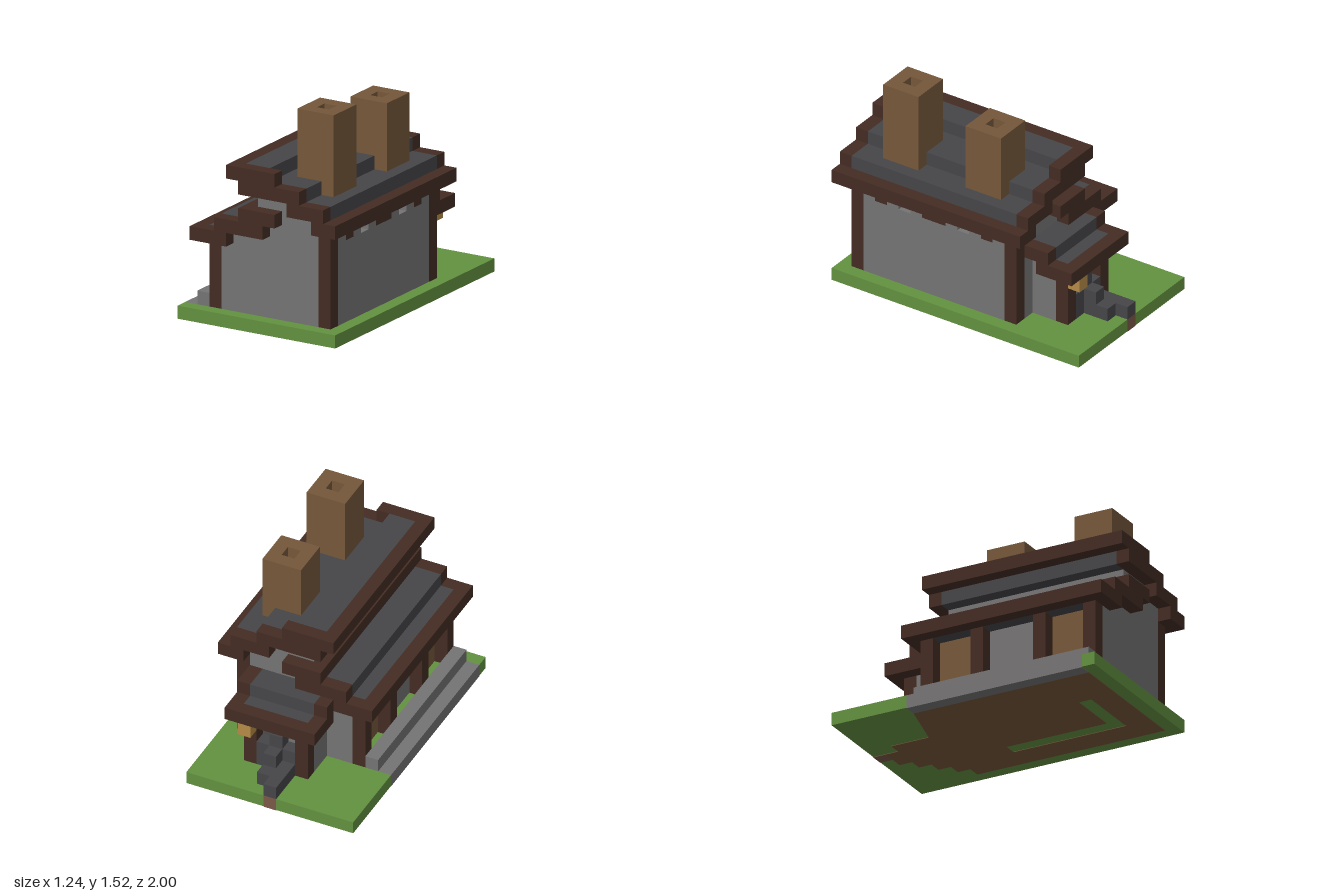
import * as THREE from 'three';

export function createModel() {
  const U = 2 / 21; // one block
  const root = new THREE.Group();
  root.name = 'blockHouse';
  const house = new THREE.Group();
  house.name = 'house';
  house.scale.setScalar(U);
  house.position.set(-6.5 * U, 0, -10.5 * U);
  root.add(house);

  const mat = (name, color) => {
    const m = new THREE.MeshStandardMaterial({ color });
    m.name = name;
    return m;
  };
  const grass = mat('grass', 0x629140);
  const slate = mat('slate', 0x454549);
  const stone = mat('stone', 0x757373);
  const timber = mat('dark timber', 0x432c22);
  const wood = mat('brown wood', 0x75573a);
  const glow = mat('lamp gold', 0xb48a45);
  const clay = mat('path clay', 0x7a5848);

  const add = (name, geo, m) => {
    const mesh = new THREE.Mesh(geo, m);
    mesh.name = name;
    house.add(mesh);
    return mesh;
  };
  // block from x0..x1, y0..y1, z0..z1 in block units
  const box = (name, m, x0, x1, y0, y1, z0, z1) =>
    add(name, new THREE.BoxGeometry(x1 - x0, y1 - y0, z1 - z0), m)
      .position.set((x0 + x1) / 2, (y0 + y1) / 2, (z0 + z1) / 2);
  const outline = pts => new THREE.Shape(pts.map(p => new THREE.Vector2(...p)));
  // stepped x-y outline extruded from z0 to z1
  const prism = (name, m, pts, z0, z1) => {
    const geo = new THREE.ExtrudeGeometry(outline(pts), { depth: z1 - z0, bevelEnabled: false });
    add(name, geo, m).position.z = z0;
  };
  // x-z outline with a hole, extruded down from y1 to y0
  const column = (name, m, pts, hole, y0, y1) => {
    const s = outline(pts);
    s.holes.push(new THREE.Path(hole.map(p => new THREE.Vector2(...p))));
    const geo = new THREE.ExtrudeGeometry(s, { depth: y1 - y0, bevelEnabled: false });
    geo.rotateX(Math.PI / 2);
    add(name, geo, m).position.y = y1;
  };
  const rect = (x0, x1, z0, z1) => [[x0, z0], [x1, z0], [x1, z1], [x0, z1]];

  // Ground, with an earth floor underneath
  const g = 0.04;
  box('ground', grass, 1, 13, g, 1, 1, 21);
  box('groundBack', grass, 0, 6, g, 1, 0, 1);
  box('groundBack', grass, 7, 13, g, 1, 0, 1);
  box('groundCorner', grass, 0, 1, g, 1, 1, 6);
  box('groundCorner', grass, 0, 1, g, 1, 20, 21);
  box('pathEarth', clay, 6, 7, 0, 1, 0, 1);
  column('earthFloor', wood,
    [[1, 20], [1, 6], [5, 5], [5, 2], [6, 2], [6, 1], [8, 1], [8, 2], [9, 2], [9, 3], [10, 3], [10, 4], [11, 4], [11, 5], [12, 5], [12, 20]],
    [[9, 9], [10, 9], [10, 18], [5, 18], [5, 17], [9, 17]], 0, g);

  // Porch steps along the side
  box('lowerStep', stone, 0, 1, 0, 1, 6, 20);
  box('upperStep', stone, 1, 2, 1, 2, 6, 20);

  // Gable walls
  const gable = [[3, 1], [11, 1], [11, 9], [9, 9], [9, 10], [6, 10], [6, 7], [4, 7], [4, 6], [3, 6]];
  for (const z of [6, 19]) {
    prism('gableWall', stone, gable, z, z + 1);
    box('lowCornerPost', timber, 2, 3, 1, 6, z, z + 1);
    box('tallCornerPost', timber, 11, 12, 1, 8, z, z + 1);
  }
  box('upperWall', stone, 6, 7, 7, 10, 7, 19);

  // Long wall with timber blocks and small openings under the eave
  box('longWall', stone, 11, 12, 1, 7, 7, 19);
  for (const [a, b] of [[7, 8], [9, 10], [11, 12], [14, 15], [16, 17], [18, 19]])
    box('longWallTop', stone, 11, 12, 7, 8, a, b);
  for (const [a, b] of [[8, 9], [12, 14], [17, 18]])
    box('eaveBlock', timber, 11, 12, 7, 8, a, b);
  for (const z of [10, 15]) box('openingBack', timber, 10, 11, 7, 8, z, z + 1);

  // Recessed porch wall
  box('porchPanel', wood, 3, 4, 1, 6, 7, 10);
  box('porchWall', stone, 3, 4, 1, 6, 10, 16);
  box('porchPanel', wood, 3, 4, 1, 6, 16, 19);
  for (const z of [10, 15]) box('porchPost', timber, 2, 3, 1, 6, z, z + 1);

  // Main roof: timber trims at both ends, slate between
  const upperTrim = [[4, 11], [5, 11], [5, 10], [9, 10], [9, 9], [11, 9], [11, 8], [13, 8], [13, 9], [12, 9], [12, 10], [10, 10], [10, 11], [8, 11], [8, 12], [4, 12]];
  const lowerTrim = [[1, 6], [4, 6], [4, 7], [7, 7], [7, 8], [8, 8], [8, 9], [5, 9], [5, 8], [3, 8], [3, 7], [1, 7]];
  for (const z of [5, 20]) {
    prism('upperRoofTrim', timber, upperTrim, z, z + 1);
    prism('lowerRoofTrim', timber, lowerTrim, z, z + 1);
  }
  prism('upperRoofSlate', slate, [[5, 10], [9, 10], [9, 9], [12, 9], [12, 10], [10, 10], [10, 11], [7, 11], [7, 12], [5, 12]], 6, 20);
  prism('lowerRoofSlate', slate, [[2, 6], [4, 6], [4, 7], [6, 7], [6, 8], [3, 8], [3, 7], [2, 7]], 6, 20);
  box('ridgeBeam', timber, 4, 5, 11, 12, 6, 20);
  box('eaveBeam', timber, 11, 13, 8, 9, 6, 20);
  box('lowerEaveBeam', timber, 1, 2, 6, 7, 6, 20);
  box('lowerRidgeBeam', timber, 5, 6, 8, 9, 6, 20);

  // Chimneys
  for (const [z, top] of [[8, 15], [15, 16]]) {
    column('chimney', wood, rect(8, 11, z, z + 3), rect(9, 10, z + 1, z + 2), 9.5, top);
    box('chimneyEmber', glow, 9, 10, 11, 11.08, z + 1, z + 2);
  }

  // Back entrance: walls, posts and stepped roof
  for (const x of [5, 9]) {
    box('entranceWall', stone, x, x + 1, 1, 6, 4, 6);
    box('entrancePost', timber, x, x + 1, 1, 5, 3, 4);
  }
  for (const x of [4, 10]) {
    box('entranceRoofSide', timber, x, x + 1, 5, 6, 3, 5);
    box('entranceRoofSide', timber, x, x + 1, 6, 7, 4, 6);
  }
  box('entranceRoofEdge', timber, 4, 11, 5, 6, 2, 3);
  box('entranceRoofSlate', slate, 5, 10, 5, 6, 3, 5);
  box('entranceRoofSlate', slate, 5, 10, 6, 7, 4, 6);
  box('lantern', glow, 9, 10, 4, 5, 2, 3);

  // Slate stair winding up to the entrance
  box('stair', slate, 6, 7, 1, 2, 0, 1);
  box('stair', slate, 6, 8, 1, 2, 1, 2);
  box('stair', slate, 6, 7, 1, 2, 2, 3);
  box('stair', slate, 7, 8, 1, 3, 2, 3);
  box('stair', slate, 6, 9, 1, 3, 3, 4);
  box('stair', slate, 7, 8, 3, 4, 3, 4);

  return root;
}
